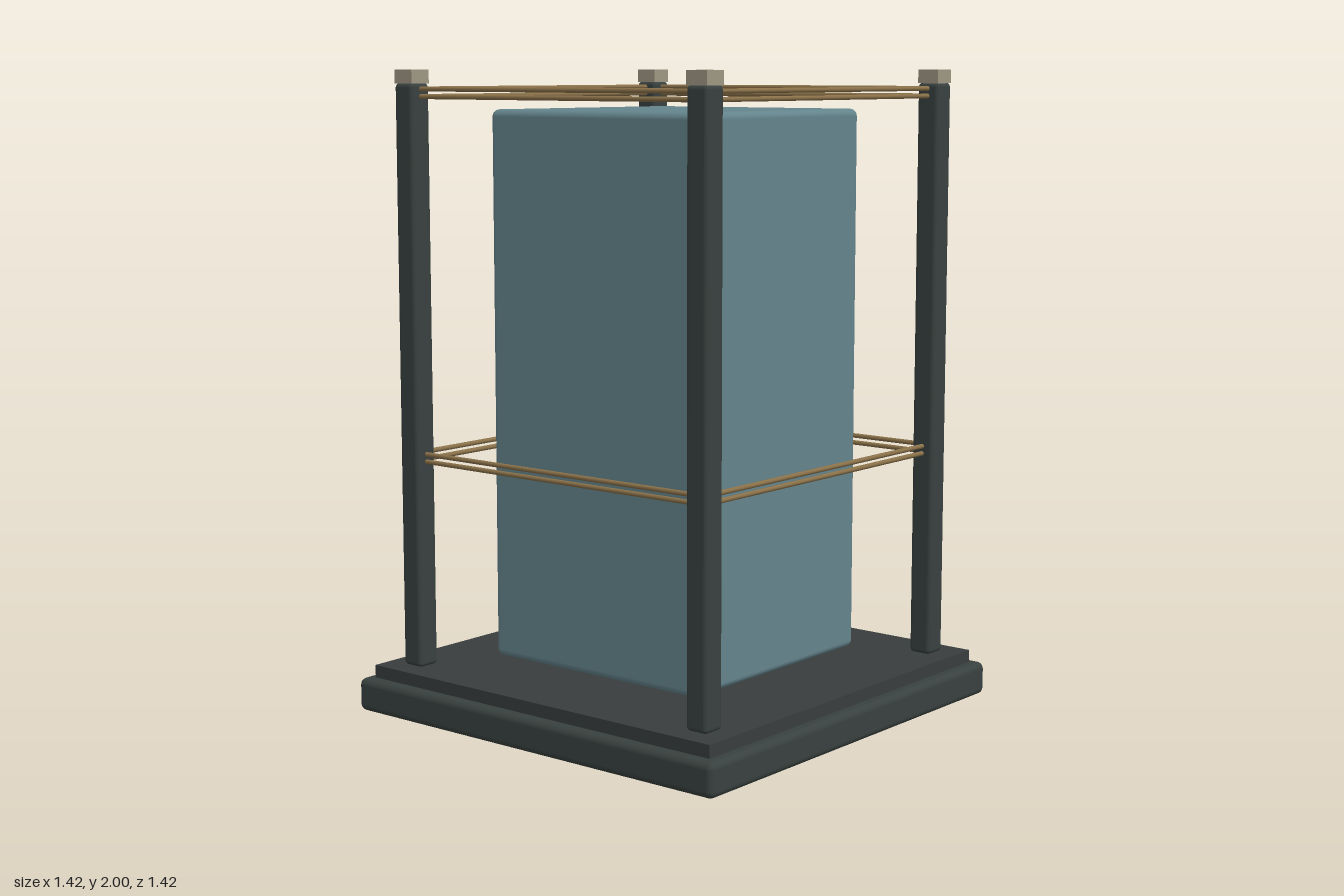
import * as THREE from 'three';
import { RoundedBoxGeometry } from 'three/addons/geometries/RoundedBoxGeometry.js';

const material = (name, color) => {
  const m = new THREE.MeshStandardMaterial({ color });
  m.name = name;
  return m;
};

export function createModel() {
  const model = new THREE.Group();
  model.name = 'displayCase';
  const frameDark = material('dark frame', 0x38413f);
  const plinthGrey = material('plinth grey', 0x383d3d);
  const glassBlue = material('dusty blue glass', 0x64848c);
  const brass = material('aged brass', 0x8a7149);
  const capStone = material('pale cap', 0x9e9683);

  const add = (name, geometry, mat, x, y, z) => {
    const mesh = new THREE.Mesh(geometry, mat);
    mesh.name = name;
    mesh.position.set(x, y, z);
    model.add(mesh);
    return mesh;
  };

  // Stepped base
  add('baseSlab', new RoundedBoxGeometry(1.422, 0.105, 1.422, 3, 0.022), frameDark, 0, 0.0525, 0);
  add('basePlate', new THREE.BoxGeometry(1.344, 0.04, 1.344), plinthGrey, 0, 0.125, 0);

  // Block floating just above the base
  add('glassBlock', new RoundedBoxGeometry(0.81, 1.712, 0.81, 3, 0.022), glassBlue, 0, 1.024, 0);

  // Corner posts with caps
  const corner = 0.571;
  const postGeo = new RoundedBoxGeometry(0.077, 1.815, 0.077, 3, 0.014);
  const capGeo = new THREE.BoxGeometry(0.073, 0.042, 0.073);
  for (const sx of [-1, 1]) for (const sz of [-1, 1]) {
    add('cornerPost', postGeo, frameDark, sx * corner, 1.0525, sz * corner);
    add('postCap', capGeo, capStone, sx * corner, 1.979, sz * corner);
  }

  // Paired rails on all four sides, at two levels
  const railGeo = new THREE.CylinderGeometry(0.0075, 0.0075, 2 * corner, 10);
  for (const y of [0.796, 0.819, 1.919, 1.942]) for (const s of [-1, 1]) {
    add('crossRail', railGeo, brass, 0, y, s * corner).rotation.z = Math.PI / 2;
    add('sideRail', railGeo, brass, s * corner, y, 0).rotation.x = Math.PI / 2;
  }

  return model;
}
